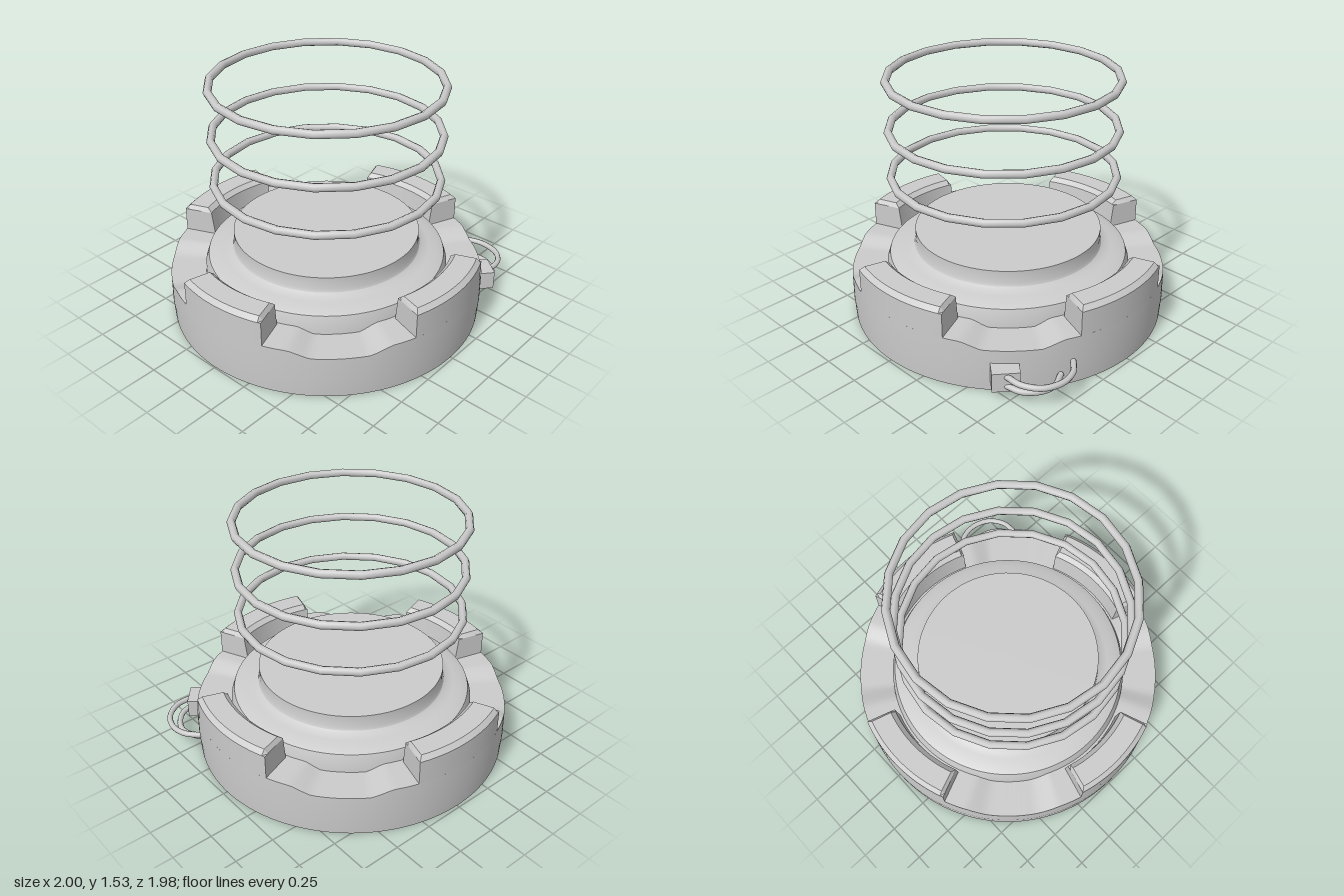
import * as THREE from 'three';
import { toCreasedNormals } from 'three/addons/utils/BufferGeometryUtils.js';

const material = new THREE.MeshStandardMaterial({ color: 0xcccccc, side: THREE.DoubleSide });
const CENTRE_X = -0.01;

// start and end angle of each raised tab, in degrees from +x towards +z
const TABS = [[-20.5, 21], [66.7, 107.7], [159.6, 195.2], [247, 287.7]];

function addMesh(parent, name, geometry) {
  const mesh = new THREE.Mesh(geometry, material);
  mesh.name = name;
  parent.add(mesh);
  return mesh;
}

// Sweeps [radius, height] cross-sections around the y axis.
function sweep(angles, section, capped) {
  const pos = [];
  const rows = angles.map((deg, i) => {
    const a = THREE.MathUtils.degToRad(deg);
    return section(deg, i).map(([r, y]) => [r * Math.cos(a), y, r * Math.sin(a)]);
  });
  const tri = (a, b, c) => pos.push(...a, ...b, ...c);
  for (let i = 0; i < rows.length - 1; i++) {
    const p = rows[i], q = rows[i + 1];
    for (let j = 0; j < p.length - 1; j++) {
      tri(p[j], p[j + 1], q[j]);
      tri(p[j + 1], q[j + 1], q[j]);
    }
  }
  if (capped) {
    const s = rows[0], e = rows[rows.length - 1];
    for (let j = 1; j < s.length - 1; j++) {
      tri(s[0], s[j + 1], s[j]);
      tri(e[0], e[j], e[j + 1]);
    }
  }
  const geometry = new THREE.BufferGeometry();
  geometry.setAttribute('position', new THREE.Float32BufferAttribute(pos, 3));
  return toCreasedNormals(geometry, 0.45);
}

// Rim height: flat beside the tabs with a shallow dip midway between them.
function rimHeight(deg) {
  let distance = 180;
  TABS.forEach(([, end], i) => {
    const next = i < 3 ? TABS[i + 1][0] : TABS[0][0] + 360;
    const d = Math.abs(((deg - (end + next) / 2 + 540) % 360) - 180);
    distance = Math.min(distance, d);
  });
  return 0.27 + 0.04 * THREE.MathUtils.clamp((distance - 10) / 7, 0, 1);
}

export function createModel() {
  const group = new THREE.Group();

  // round body with the dipped rim
  const base = new THREE.Group();
  base.name = 'base';
  base.position.x = CENTRE_X;
  group.add(base);
  const circle = Array.from({ length: 181 }, (_, i) => i * 2);
  addMesh(base, 'body', sweep(circle, (deg) => {
    const h = rimHeight(deg);
    return [[0, 0], [0.983, 0], [0.99, 0.12], [0.988, h], [0.75, h]];
  }, false));

  // four raised tabs with bevelled top edges
  TABS.forEach(([start, end]) => {
    const angles = [start];
    for (let i = 0; i <= 16; i++) angles.push(start + 1.2 + (end - start - 2.4) * i / 16);
    angles.push(end);
    addMesh(base, 'tab', sweep(angles, (deg, i) => {
      const top = i === 0 || i === angles.length - 1 ? 0.465 : 0.492;
      return [[0.988, 0.26], [0.988, 0.465], [0.96, top], [0.83, top], [0.8, 0.465], [0.775, 0.26]];
    }, true));
  });

  // raised centre with a flared foot
  const profile = [
    [0.77, 0.26], [0.765, 0.32], [0.745, 0.38], [0.7, 0.4], [0.65, 0.407],
    [0.61, 0.418], [0.59, 0.432], [0.582, 0.45], [0.582, 0.53], [0, 0.53],
  ].map(([r, y]) => new THREE.Vector2(r, y));
  addMesh(base, 'centrePlatform', toCreasedNormals(new THREE.LatheGeometry(profile, 96), 0.5));

  // three floating hoops
  [0.9, 1.195, 1.505].forEach((y) => {
    const hoop = addMesh(group, 'hoop', new THREE.TorusGeometry(0.69, 0.025, 8, 20));
    hoop.rotation.x = -Math.PI / 2;
    hoop.position.set(-0.025, y, 0.02);
  });

  // side clip with two bent wires
  const clip = new THREE.Group();
  clip.name = 'sideClip';
  group.add(clip);
  const block = addMesh(clip, 'clipBlock', new THREE.BoxGeometry(0.11, 0.12, 0.16));
  block.position.set(0.7, 0.128, 0.738);
  block.rotation.y = -THREE.MathUtils.degToRad(39.7);

  const wires = {
    upperWire: [[0.73, 0.162, 0.765], [0.84, 0.16, 0.76], [0.94, 0.155, 0.69], [0.982, 0.153, 0.57],
      [0.96, 0.155, 0.47], [0.9, 0.155, 0.4]],
    lowerWire: [[0.73, 0.1, 0.765], [0.82, 0.093, 0.74], [0.89, 0.087, 0.66], [0.91, 0.085, 0.57],
      [0.87, 0.085, 0.47]],
  };
  for (const [name, points] of Object.entries(wires)) {
    const curve = new THREE.CatmullRomCurve3(points.map((p) => new THREE.Vector3(...p)));
    addMesh(clip, name, new THREE.TubeGeometry(curve, 24, 0.018, 8));
    [0, points.length - 1].forEach((i) => {
      addMesh(clip, name + 'End', new THREE.SphereGeometry(0.018, 8, 6)).position.set(...points[i]);
    });
  }

  return group;
}
